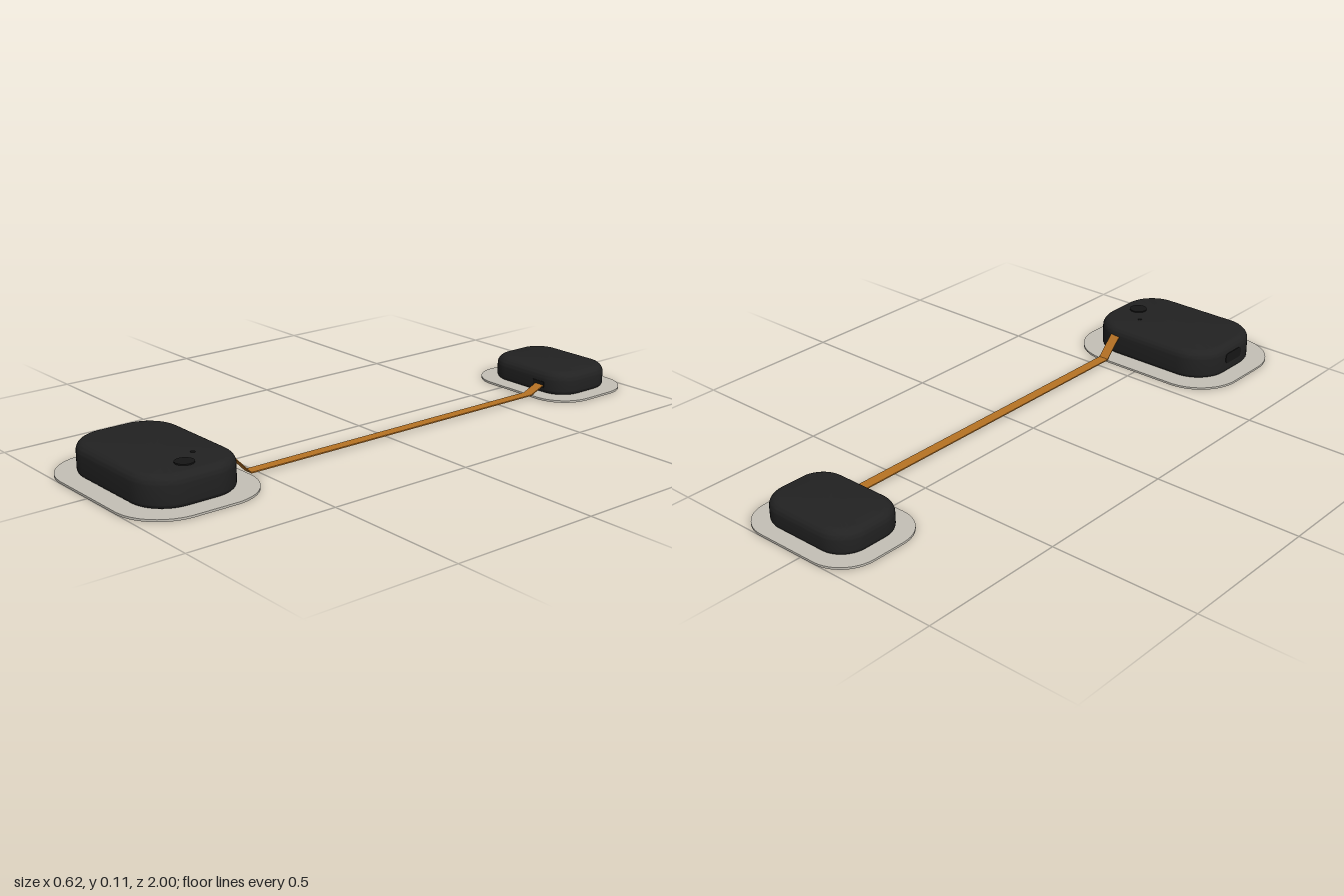
import * as THREE from 'three';
import { toCreasedNormals } from 'three/addons/utils/BufferGeometryUtils.js';

const material = (name, color) => Object.assign(new THREE.MeshStandardMaterial({ color }), { name });

// Stacks rounded-rectangle rings along a profile of [inset, height] and caps both ends.
function roundedLoft(width, depth, radius, profile, steps = 12) {
  const pos = [], index = [], n = 4 * (steps + 1);
  for (const [inset, y] of profile) {
    for (let c = 0; c < 4; c++) {
      const sx = c === 0 || c === 3 ? 1 : -1, sz = c < 2 ? 1 : -1;
      for (let i = 0; i <= steps; i++) {
        const t = (c + i / steps) * Math.PI / 2, r = radius - inset;
        pos.push(sx * (width / 2 - radius) + r * Math.cos(t), y, sz * (depth / 2 - radius) + r * Math.sin(t));
      }
    }
  }
  const rings = profile.length, bottom = rings * n, top = bottom + 1;
  pos.push(0, profile[0][1], 0, 0, profile[rings - 1][1], 0);
  for (let j = 0; j < n; j++) {
    const k = (j + 1) % n, last = (rings - 1) * n;
    for (let i = 0; i < rings - 1; i++) {
      const a = i * n + j, b = i * n + k;
      index.push(a, a + n, b, b, a + n, b + n);
    }
    index.push(bottom, j, k, top, last + k, last + j);
  }
  const geo = new THREE.BufferGeometry();
  geo.setAttribute('position', new THREE.Float32BufferAttribute(pos, 3));
  geo.setIndex(index);
  return toCreasedNormals(geo, Math.PI / 5);
}

// Profile with a small bottom fillet and a larger top fillet.
function podProfile(y0, y1, low, high) {
  const points = [];
  for (let i = 0; i <= 5; i++) {
    const t = i / 5 * Math.PI / 2;
    points.push([low * (1 - Math.sin(t)), y0 + low * (1 - Math.cos(t))]);
  }
  for (let i = 0; i <= 8; i++) {
    const t = i / 8 * Math.PI / 2;
    points.push([high * (1 - Math.cos(t)), y1 - high * (1 - Math.sin(t))]);
  }
  return points;
}

export function createModel() {
  const shell = material('black shell', 0x222222);
  const trim = material('dark trim', 0x161616);
  const padGrey = material('adhesive grey', 0xc4c0b6);
  const amber = material('amber ribbon', 0xb87324);

  const model = new THREE.Group();
  const add = (parent, name, geo, mat, x = 0, y = 0, z = 0) => {
    const mesh = new THREE.Mesh(geo, mat);
    mesh.name = name;
    mesh.position.set(x, y, z);
    parent.add(mesh);
    return mesh;
  };

  // Each unit is a rounded pod on a flat adhesive pad
  function unit(name, x, z, pod, pad) {
    const group = new THREE.Group();
    group.name = name;
    group.position.set(x, 0, z);
    add(group, 'adhesivePad', roundedLoft(pad.w, pad.d, pad.r, [[0, 0], [0, 0.007]], 16), padGrey);
    add(group, 'podShell', roundedLoft(pod.w, pod.d, pod.r, podProfile(0.007, pod.top, 0.014, 0.03)), shell);
    model.add(group);
    return group;
  }
  const main = unit('mainUnit', 0, 0.77, { w: 0.5, d: 0.34, r: 0.12, top: 0.107 }, { w: 0.62, d: 0.46, r: 0.16 });
  const rear = unit('rearUnit', 0.058, -0.823, { w: 0.36, d: 0.26, r: 0.09, top: 0.086 }, { w: 0.46, d: 0.355, r: 0.12 });

  // Button and indicator on top of the main unit
  add(main, 'button', new THREE.CylinderGeometry(0.03, 0.03, 0.006, 32), trim, 0.17, 0.108, 0.01);
  add(main, 'indicator', new THREE.CylinderGeometry(0.008, 0.008, 0.002, 16), trim, 0.114, 0.1075, -0.056);

  // Charging port on the side
  const port = roundedLoft(0.036, 0.09, 0.012, [[0, -0.002], [0, 0.002]], 5);
  add(main, 'chargingPort', port, trim, -0.25, 0.06, 0).rotation.z = Math.PI / 2;

  // Slot where the ribbon enters the rear unit
  add(rear, 'ribbonSlot', new THREE.BoxGeometry(0.05, 0.022, 0.006), trim, 0.072, 0.037, 0.129);

  // Flat ribbon cable: side outline in z and y, extruded across its width
  const path = [[0.61, 0.079], [0.598, 0.074], [0.537, 0.011], [-0.636, 0.011], [-0.69, 0.034], [-0.71, 0.037]];
  const t = 0.002;
  const outline = [
    ...path.map(([z, y]) => new THREE.Vector2(-z, y - t)),
    ...path.map(([z, y]) => new THREE.Vector2(-z, y + t)).reverse(),
  ];
  const ribbon = new THREE.ExtrudeGeometry(new THREE.Shape(outline), { depth: 0.036, bevelEnabled: false });
  ribbon.rotateY(Math.PI / 2);
  add(model, 'ribbonCable', ribbon, amber, 0.117, 0, 0);

  return model;
}
